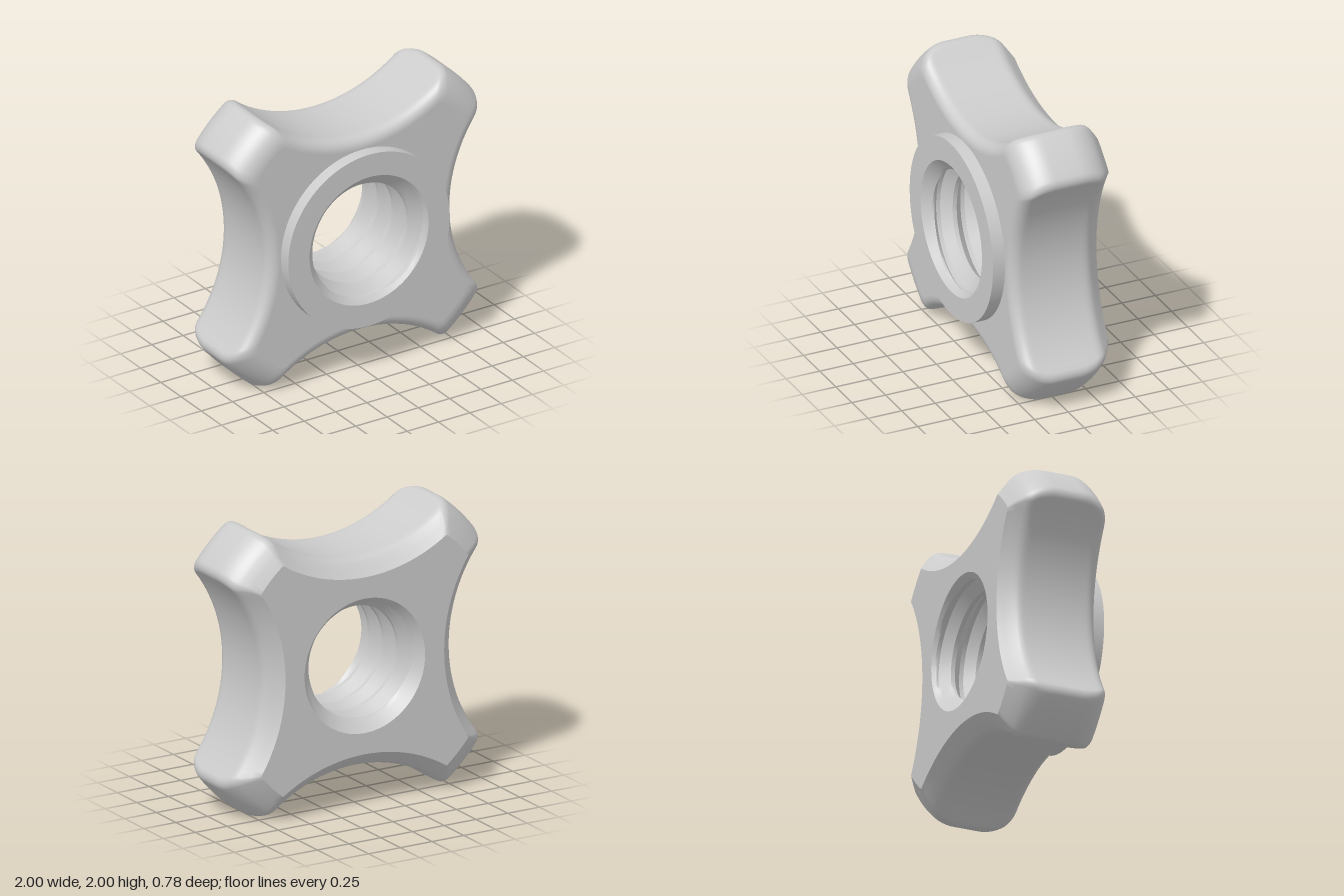
import * as THREE from 'three';
import { toCreasedNormals } from 'three/addons/utils/BufferGeometryUtils.js';

const material = new THREE.MeshStandardMaterial({ color: 0xcccccc });
const FRONT = 0.3, BACK = -0.39, BOSS = 0.39;      // z of the faces
const BOSS_R = 0.645, MOUTH_R = 0.475;             // boss and bore mouth radii
const SCOOP_H = 1.805, SCOOP_R = 1.07;             // concave side: centre distance, radius

// Skin a list of equal-length point rows.
function loft(rows, closed, crease) {
  const pos = [];
  const tri = (a, b, c) => {
    const n = b.clone().sub(a).cross(c.clone().sub(a));
    if (n.lengthSq() > 1e-14) for (const p of [a, b, c]) pos.push(p.x, p.y, p.z);
  };
  const n = rows[0].length;
  for (let i = 0; i < rows.length - 1; i++) {
    for (let j = 0; j < (closed ? n : n - 1); j++) {
      const k = (j + 1) % n;
      tri(rows[i][j], rows[i][k], rows[i + 1][k]);
      tri(rows[i][j], rows[i + 1][k], rows[i + 1][j]);
    }
  }
  const g = new THREE.BufferGeometry();
  g.setAttribute('position', new THREE.Float32BufferAttribute(pos, 3));
  return toCreasedNormals(g, crease);
}

// Four-lobed outline: scoops deepened by inset, lobe tips on radius tip, corners rounded by f.
function outline(inset, tip, f) {
  const H = SCOOP_H, R = SCOOP_R + inset, q = tip - f;
  const th = Math.acos((q * q + H * H - (R + f) ** 2) / (2 * H * q));
  const fx = q * Math.cos(th), fy = q * Math.sin(th);
  const half = [];
  const arc = (cx, cy, r, a0, a1, n) => {
    for (let i = 0; i < n; i++) {
      const a = a0 + (a1 - a0) * i / n;
      half.push([cx + r * Math.cos(a), cy + r * Math.sin(a)]);
    }
  };
  arc(H, 0, R, Math.PI, Math.atan2(fy, fx - H), 18);
  arc(fx, fy, f, Math.atan2(-fy, H - fx), th, 8);
  arc(0, 0, tip, th, Math.PI / 4, 4);
  const m = tip * Math.SQRT1_2;
  const lobe = [...half, [m, m], ...half.slice(1).reverse().map(([x, y]) => [y, x])];
  const pts = [];
  for (let k = 0; k < 4; k++) {
    const c = [1, 0, -1, 0][k], s = [0, 1, 0, -1][k];
    for (const [x, y] of lobe) pts.push(new THREE.Vector2(c * x - s * y, s * x + c * y));
  }
  return pts;
}

// Layers of the body from back to front: [z, inset, tip radius, corner radius].
function bodyLayers() {
  const TIP = 1.253, layers = [[BACK, 0.11, 1.04, 0.006], [-0.35, 0.07, 1.107, 0.03]];
  const round = (z, start, r) => {                 // quarter-round easing
    const t = THREE.MathUtils.clamp((z - start) / r, 0, 1);
    return 1 - Math.sqrt(1 - t * t);
  };
  for (let i = 0; i <= 10; i++) {                  // rounded shoulder above the back chamfer
    const z = -0.31 + 0.21 * i / 10;
    layers.push([z, 0.1 * round(-z, 0.24, 0.1), TIP - 0.21 * round(-z, 0.1, 0.258), 0.07 - 0.02 * round(-z, 0.2, 0.11)]);
  }
  for (let i = 0; i <= 16; i++) {                  // front round
    const z = 0.08 + 0.22 * Math.sin(i / 16 * Math.PI / 2);
    layers.push([z, 0.08 * round(z, 0.22, 0.08), TIP - 0.2 * round(z, 0.08, 0.22), 0.07]);
  }
  return layers;
}

// Flat face with a round opening.
function face(points, holeR) {
  const shape = new THREE.Shape(points);
  shape.holes.push(new THREE.Path().absarc(0, 0, holeR, 0, Math.PI * 2, true));
  return new THREE.ShapeGeometry(shape, 48);
}

// Threaded bore with a countersink at each end.
function boreGeometry() {
  const PITCH = 0.18, STEPS = 12, SEG = 96, MINOR = 0.38, DEPTH = 0.07;
  const thread = (z) => {
    const t = ((z / PITCH) % 1 + 1) % 1;
    const d = Math.abs(t - 0.5) * STEPS;           // 0 at crest, 6 at root
    return MINOR + DEPTH * THREE.MathUtils.clamp((d - 1) / 4, 0, 1);
  };
  const rows = [], first = Math.floor((BACK - PITCH) / PITCH * STEPS);
  const last = Math.ceil(BOSS / PITCH * STEPS);
  for (let i = last; i >= first; i--) {
    const row = [];
    for (let j = 0; j <= SEG; j++) {
      const a = j / SEG * Math.PI * 2;
      const lead = PITCH * j / SEG;
      const z = THREE.MathUtils.clamp(PITCH * i / STEPS + lead, BACK, BOSS);
      const r = Math.max(thread(z - lead), MOUTH_R - (BOSS - Math.abs(z)));
      row.push(new THREE.Vector3(r * Math.cos(a), r * Math.sin(a), z));
    }
    rows.push(row);
  }
  return loft(rows, false, 0.5);
}

export function createModel() {
  const model = new THREE.Group();
  model.name = 'fourLobedKnob';
  const add = (name, geometry) => {
    const mesh = new THREE.Mesh(geometry, material);
    mesh.name = name;
    mesh.position.y = 1;
    model.add(mesh);
  };

  const layers = bodyLayers();
  const rows = layers.map(([z, ...o]) => outline(...o).map((p) => new THREE.Vector3(p.x, p.y, z)));
  add('lobedBody', loft(rows, true, 0.5));

  // Flat faces
  add('frontFace', face(outline(...layers.at(-1).slice(1)), BOSS_R).translate(0, 0, FRONT));
  add('backFace', face(outline(...layers[0].slice(1)), MOUTH_R).rotateY(Math.PI).translate(0, 0, BACK));

  // Raised round boss on the front
  const rim = new THREE.CylinderGeometry(BOSS_R, BOSS_R, BOSS - FRONT, 96, 1, true);
  add('bossRim', rim.rotateX(Math.PI / 2).translate(0, 0, (BOSS + FRONT) / 2));
  add('bossFace', new THREE.RingGeometry(MOUTH_R, BOSS_R, 96).translate(0, 0, BOSS));

  add('threadedBore', boreGeometry());
  return model;
}
